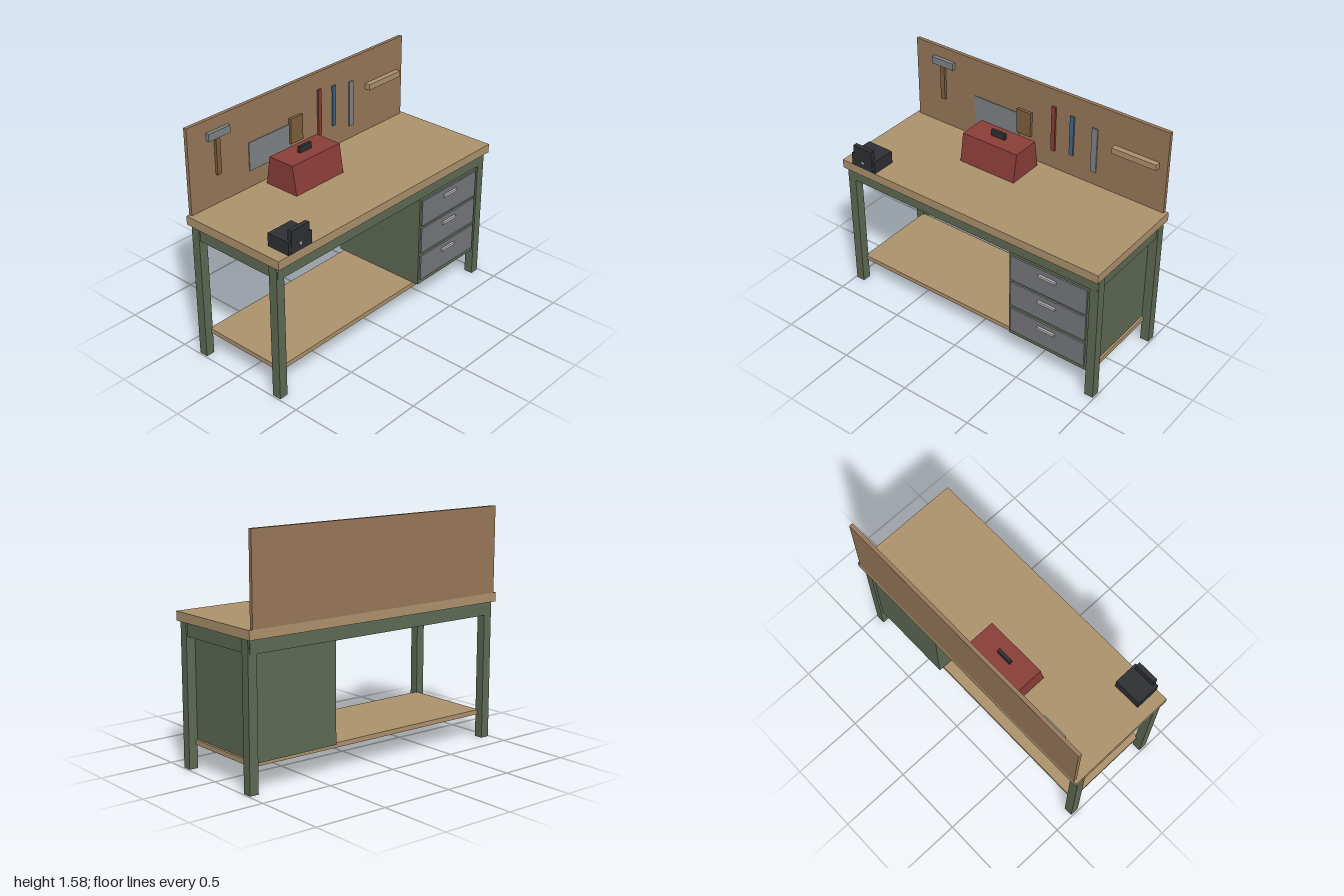
import * as THREE from 'three';

export function createModel() {
  const bench = new THREE.Group();
  bench.name = 'workbench';

  const mat = (color) => new THREE.MeshStandardMaterial({ color });
  const wood = mat(0xae936e), board = mat(0x99795a), green = mat(0x5f6b55);
  const steel = mat(0x808488), drawerGrey = mat(0x77787c), bright = mat(0xb8b8b8);
  const dark = mat(0x2f3035), red = mat(0x8c3e38), blue = mat(0x45688c), brown = mat(0x80603c);

  const add = (name, geometry, material) => {
    const mesh = new THREE.Mesh(geometry, material);
    mesh.name = name;
    bench.add(mesh);
    return mesh;
  };
  // Box given by its extents on each axis
  const box = (name, material, [x0, x1], [y0, y1], [z0, z1]) => {
    const mesh = add(name, new THREE.BoxGeometry(x1 - x0, y1 - y0, z1 - z0), material);
    mesh.position.set((x0 + x1) / 2, (y0 + y1) / 2, (z0 + z1) / 2);
    return mesh;
  };

  // Bench frame
  box('benchTop', wood, [-1, 1], [0.94, 1], [-0.39, 0.39]);
  box('apron', green, [-0.98, 0.98], [0.85, 0.94], [-0.365, 0.361]);
  for (const sx of [-1, 1]) {
    for (const sz of [-1, 1]) {
      const leg = box('leg', green, [-0.031, 0.031], [0, 0.94], [-0.031, 0.031]);
      leg.position.x = sx * 0.959;
      leg.position.z = sz * 0.328;
    }
  }
  box('lowerShelf', wood, [-0.94, 0.94], [0.155, 0.187], [-0.31, 0.31]);

  // Drawer cabinet
  box('cabinet', green, [0.33, 0.925], [0.187, 0.85], [-0.345, 0.348]);
  for (const y of [0.313, 0.523, 0.728]) {
    box('drawerFront', drawerGrey, [0.345, 0.91], [y - 0.0925, y + 0.0925], [0.34, 0.359]);
    box('drawerHandle', bright, [0.56, 0.69], [y + 0.037, y + 0.055], [0.355, 0.374]);
  }

  // Tool board and hanging tools
  const back = -0.367;
  box('toolBoard', board, [-0.977, 0.977], [1, 1.58], [-0.39, -0.365]);
  box('hammerHead', steel, [-0.83, -0.655], [1.45, 1.5], [back, -0.339]);
  box('hammerHandle', brown, [-0.768, -0.734], [1.2, 1.45], [back, -0.346]);
  box('sawBlade', steel, [-0.49, -0.13], [1.115, 1.31], [back, -0.359]);
  box('sawHandle', brown, [-0.135, -0.025], [1.175, 1.35], [back, -0.344]);
  box('redTool', red, [0.13, 0.16], [1.135, 1.46], [back, -0.352]);
  box('blueTool', blue, [0.27, 0.3], [1.155, 1.44], [back, -0.354]);
  box('file', steel, [0.433, 0.475], [1.095, 1.415], [back, -0.357]);
  box('smallRail', wood, [0.6, 0.92], [1.31, 1.35], [back, -0.327]);

  // Toolbox with sloping front and back
  const profile = new THREE.Shape([
    new THREE.Vector2(0.065, 1), new THREE.Vector2(0.325, 1),
    new THREE.Vector2(0.295, 1.197), new THREE.Vector2(0.097, 1.197),
  ]);
  const boxGeo = new THREE.ExtrudeGeometry(profile, { depth: 0.43, bevelEnabled: false });
  boxGeo.rotateY(Math.PI / 2);
  add('toolbox', boxGeo, red).position.x = -0.38;
  box('toolboxHandle', dark, [-0.22, -0.114], [1.19, 1.24], [-0.207, -0.186]);

  // Vise
  box('viseBody', dark, [-0.915, -0.72], [1, 1.087], [0.22, 0.388]);
  box('viseJaw', dark, [-0.893, -0.743], [1, 1.154], [0.36, 0.391]);
  const screw = add('viseScrew', new THREE.CylinderGeometry(0.01, 0.01, 0.02, 16), bright);
  screw.rotation.x = Math.PI / 2;
  screw.position.set(-0.819, 1.045, 0.383);

  return bench;
}
